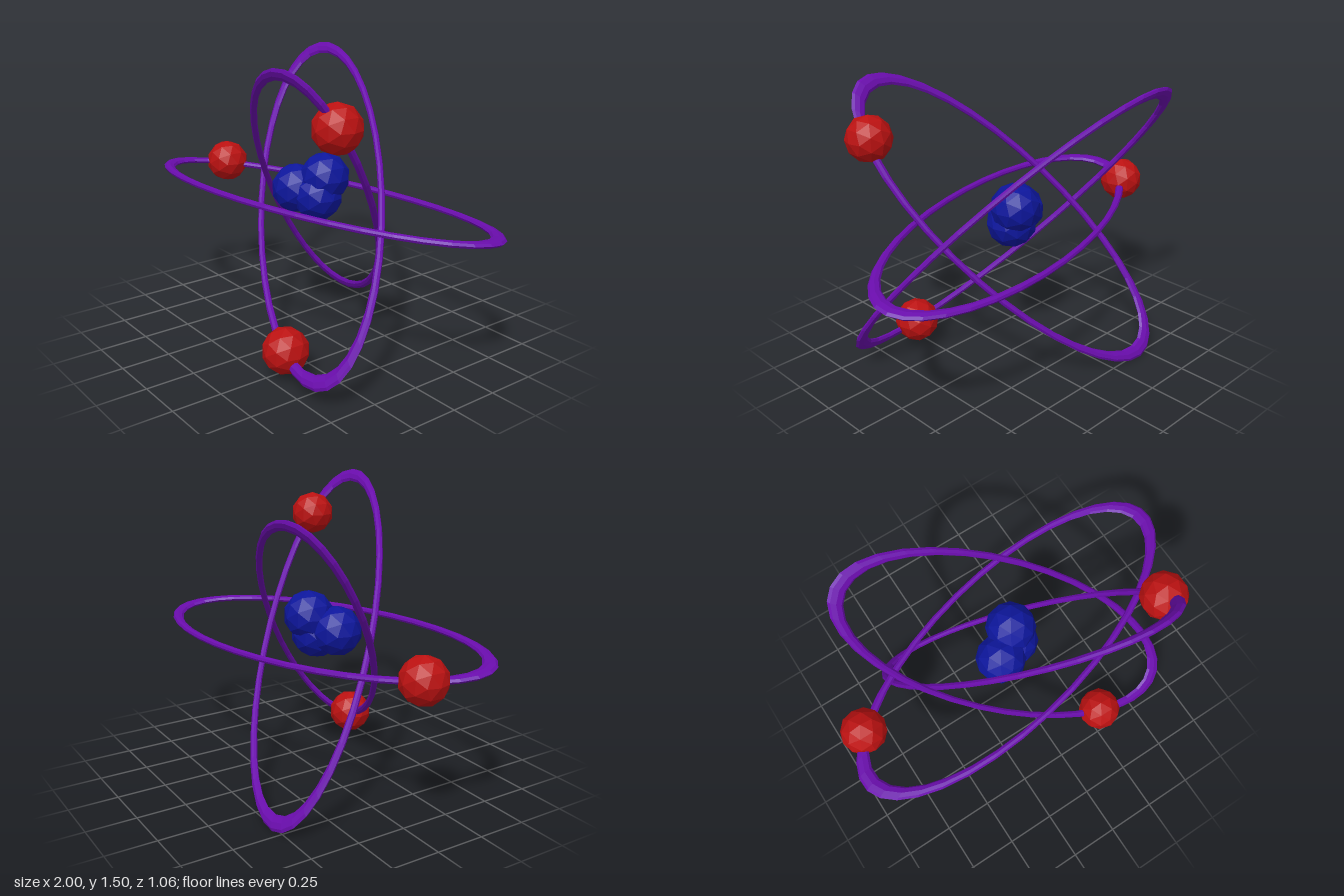
import * as THREE from 'three';

const CENTER_Y = 0.757;

export function createModel() {
  const group = new THREE.Group();
  const paint = (color) => new THREE.MeshStandardMaterial({ color, flatShading: true });
  const purple = paint(0x6a0dad), red = paint(0xbb1111), blue = paint(0x0d169c);

  // Faceted ball shared by the nucleus and the electrons
  const ball = (name, radius, position, material) => {
    const mesh = new THREE.Mesh(new THREE.IcosahedronGeometry(radius, 1), material);
    mesh.name = name;
    mesh.position.set(...position);
    group.add(mesh);
  };

  // Orbits: a torus stretched along its long axis, turned within a plane that contains x.
  // rise and depth give the plane's second direction in y and z.
  const orbits = [
    { name: 'flatOrbit', rise: 0.106, depth: 1, turn: -14.8 },
    { name: 'forwardOrbit', rise: 0.819, depth: 0.573, turn: 59.8 },
    { name: 'backwardOrbit', rise: 0.822, depth: -0.569, turn: -50.1 },
  ];
  for (const { name, rise, depth, turn } of orbits) {
    const geometry = new THREE.TorusGeometry(0.395, 0.016, 8, 36);
    geometry.scale(2.51, 1, 1);
    geometry.rotateZ(THREE.MathUtils.degToRad(turn));
    geometry.rotateX(Math.atan2(depth, rise));
    const orbit = new THREE.Mesh(geometry, purple);
    orbit.name = name;
    orbit.position.y = CENTER_Y;
    group.add(orbit);
  }

  // Nucleus: three overlapping balls
  ball('nucleusTop', 0.128, [0.01, 0.855, -0.037], blue);
  ball('nucleusSide', 0.128, [-0.107, 0.788, 0.053], blue);
  ball('nucleusBottom', 0.128, [0, 0.762, 0], blue);

  // One electron on each orbit
  ball('flatOrbitElectron', 0.115, [-0.865, 0.765, -0.005], red);
  ball('forwardOrbitElectron', 0.115, [0.59, 1.26, 0.347], red);
  ball('backwardOrbitElectron', 0.115, [0.302, 0.15, 0.42], red);

  return group;
}
